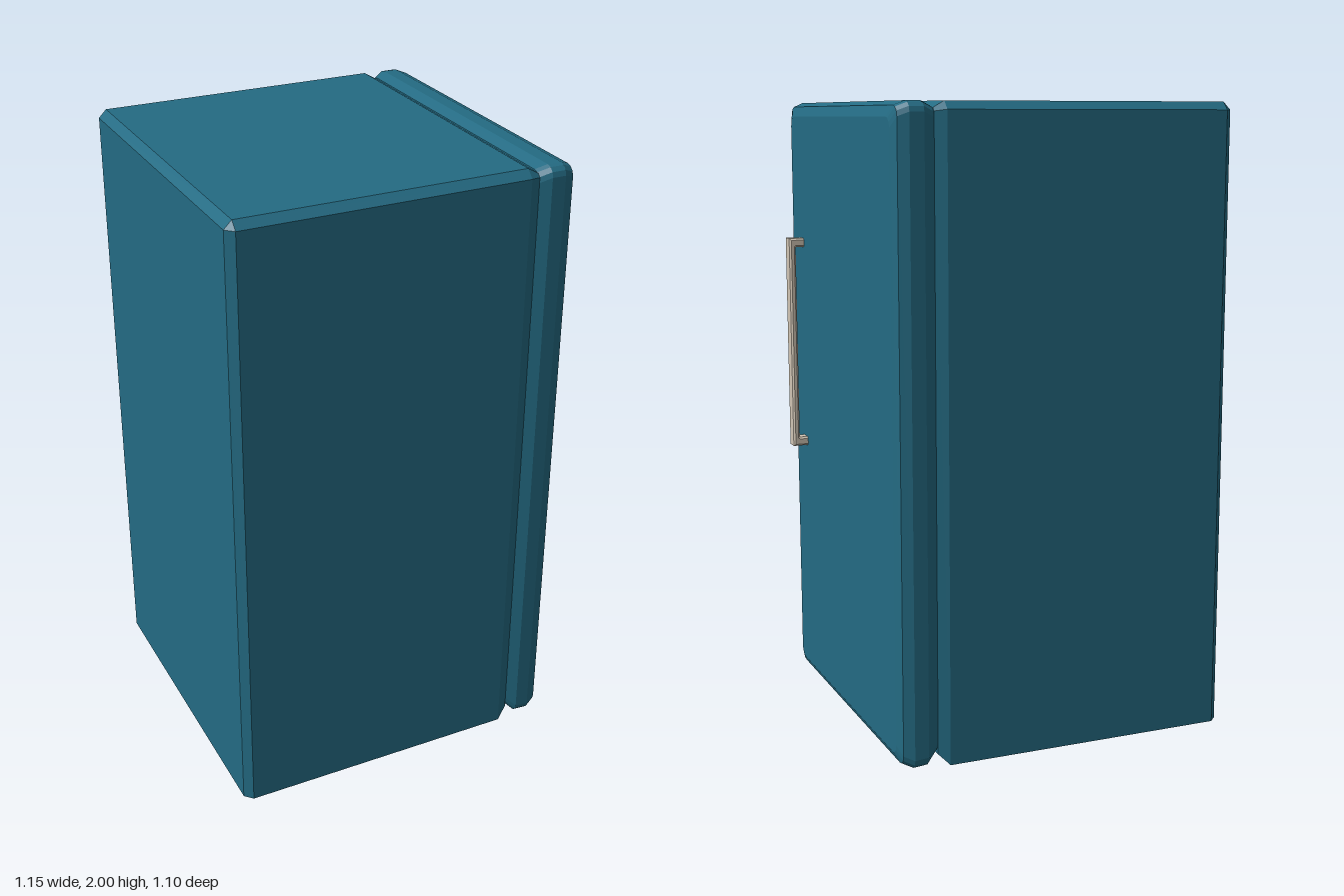
import * as THREE from 'three';

// Outline in the y-z plane: half width w, bottom b, top t, corner cuts ct (top) and cb (bottom), n steps per corner
function outline({ x, w, b, t, ct = 0, cb = 0, n = 1 }) {
  const corners = [
    [t - ct, w - ct, ct, 0],
    [b + cb, w - cb, cb, 1],
    [b + cb, -w + cb, cb, 2],
    [t - ct, -w + ct, ct, 3],
  ];
  const ring = [];
  for (const [y, z, r, q] of corners) {
    for (let i = 0; i <= n; i++) {
      const a = (q + i / n) * Math.PI / 2;
      ring.push(new THREE.Vector3(x, y + r * Math.cos(a), z + r * Math.sin(a)));
    }
  }
  return ring;
}

// Flat-faced solid through outlines ordered by rising x
function loft(sections) {
  const rings = sections.map(outline);
  const pos = [];
  const tri = (a, b, c) => {
    const area = b.clone().sub(a).cross(c.clone().sub(a)).length();
    if (area > 1e-9) for (const p of [a, b, c]) pos.push(p.x, p.y, p.z);
  };
  const n = rings[0].length;
  for (let s = 0; s < rings.length - 1; s++) {
    for (let i = 0; i < n; i++) {
      const j = (i + 1) % n;
      tri(rings[s][i], rings[s][j], rings[s + 1][j]);
      tri(rings[s][i], rings[s + 1][j], rings[s + 1][i]);
    }
  }
  const first = rings[0], last = rings[rings.length - 1];
  for (let i = 1; i < n - 1; i++) {
    tri(first[0], first[i + 1], first[i]);
    tri(last[0], last[i], last[i + 1]);
  }
  const geo = new THREE.BufferGeometry();
  geo.setAttribute('position', new THREE.Float32BufferAttribute(pos, 3));
  geo.computeVertexNormals();
  return geo;
}

export function createModel() {
  const model = new THREE.Group();
  model.name = 'refrigerator';
  const teal = new THREE.MeshStandardMaterial({ color: 0x246b83 });
  teal.name = 'teal enamel';
  const beige = new THREE.MeshStandardMaterial({ color: 0xd0c5b4 });
  beige.name = 'beige metal';

  const add = (name, geo, mat) => {
    const mesh = new THREE.Mesh(geo, mat);
    mesh.name = name;
    model.add(mesh);
    return mesh;
  };

  // Cabinet: bevelled top and sides, square along the floor
  add('cabinet', loft([
    { x: -0.58, w: 0.525, b: 0, t: 1.975 },
    { x: -0.555, w: 0.55, b: 0, t: 2, ct: 0.025 },
    { x: 0.365, w: 0.55, b: 0, t: 2, ct: 0.025 },
    { x: 0.4, w: 0.535, b: 0.035, t: 1.98, ct: 0.01 },
  ]), teal);

  // Door: rounded slab with an inset at the seam
  const doorSteps = [[0.4, 0.015, 0.04], [0.435, 0, 0.004], [0.48, 0, 0], [0.513, 0.013, 0.015], [0.525, 0.045, 0.04]];
  add('door', loft(doorSteps.map(([x, inset, foot]) => ({
    x, w: 0.55 - inset, b: foot, t: 2 - inset, ct: 0.032, cb: 0.032, n: 3,
  }))), teal);

  // Handle: U-shaped bar with bevelled edges
  const bevel = 0.006;
  const shape = new THREE.Shape([
    [0.518, 0.841], [0.569, 0.841], [0.569, 1.544], [0.518, 1.544],
    [0.518, 1.526], [0.554, 1.526], [0.559, 1.521], [0.559, 0.864], [0.554, 0.859], [0.518, 0.859],
  ].map(([x, y]) => new THREE.Vector2(x, y)));
  const bar = new THREE.ExtrudeGeometry(shape, {
    depth: 0.053 - 2 * bevel, bevelEnabled: true, bevelSize: bevel, bevelThickness: bevel, bevelSegments: 1,
  });
  add('handle', bar, beige).position.z = 0.38 + bevel;

  return model;
}
